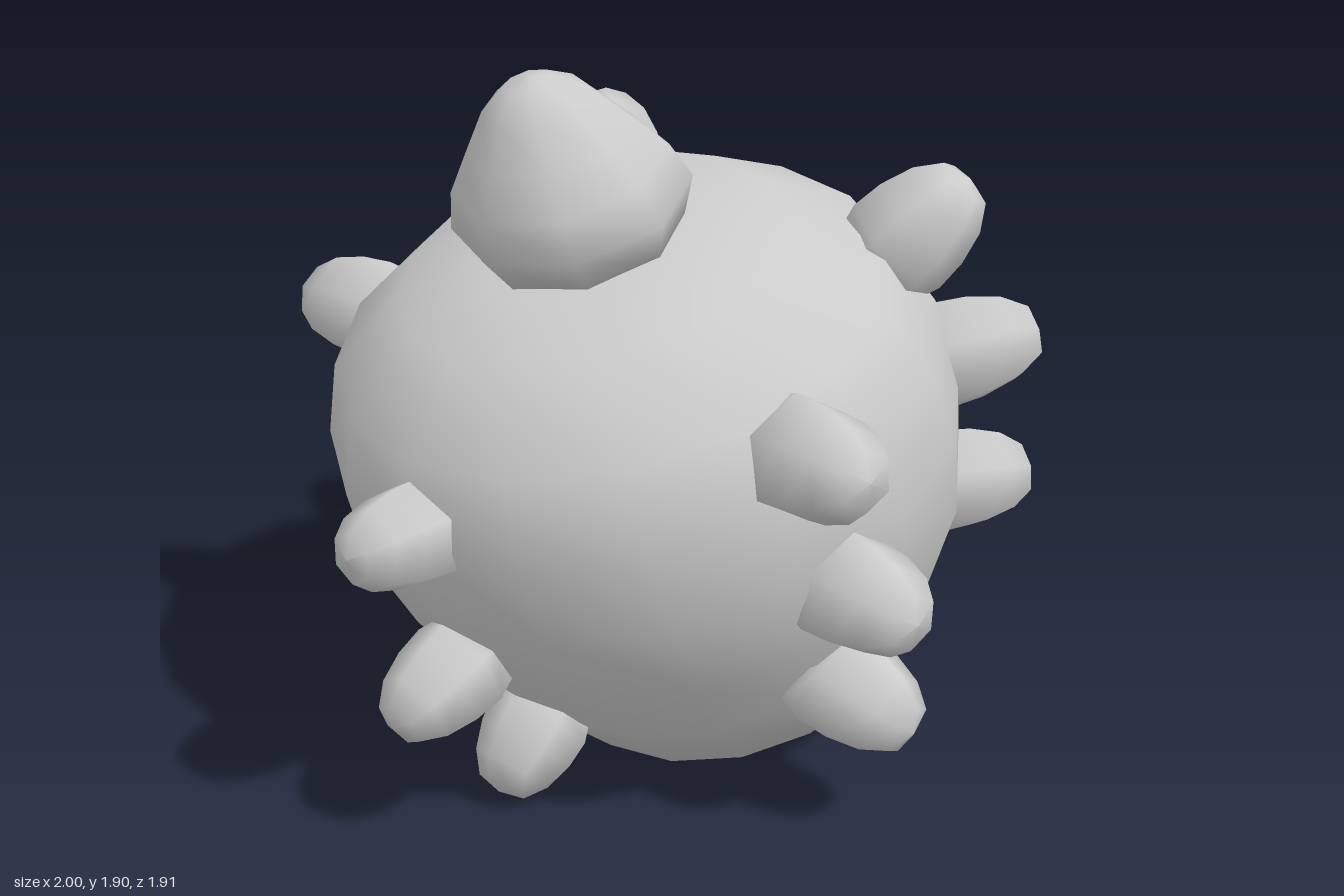
import * as THREE from 'three';

const material = new THREE.MeshStandardMaterial({ color: 0xcccccc });

// Lathe from [radius, height] pairs listed bottom to top
function lathe(profile, sides) {
  return new THREE.LatheGeometry(profile.map(([r, h]) => new THREE.Vector2(r, h)), sides);
}

export function createModel() {
  const model = new THREE.Group();
  model.name = 'spikyShell';

  const add = (geometry, name, parent = model) => {
    const mesh = new THREE.Mesh(geometry, material);
    mesh.name = name;
    parent.add(mesh);
    return mesh;
  };

  // Forward-leaning frame shared by the shell and its top knob
  const up = new THREE.Vector3(0, 0.95, 0.313);
  const front = new THREE.Vector3(0, -0.313, 0.95);
  const lean = new THREE.Matrix4()
    .makeBasis(new THREE.Vector3(1, 0, 0), up.clone().addScaledVector(front, 0.085), front)
    .setPosition(0, 0.135, -0.41);

  // Round shell with a flat, slanted underside
  add(lathe([
    [0, 0.022], [0.495, 0.022], [0.645, 0.29], [0.77, 0.56], [0.813, 0.8],
    [0.795, 1.03], [0.71, 1.23], [0.49, 1.395], [0.25, 1.45], [0, 1.463],
  ], 16).applyMatrix4(lean), 'shell');

  // Large blunt knob on top
  add(lathe([
    [0, 1.42], [0.25, 1.44], [0.3, 1.55], [0.268, 1.65], [0.205, 1.74],
    [0.13, 1.845], [0.06, 1.895], [0, 1.905],
  ], 8).applyMatrix4(lean), 'topKnob');

  // Unit spike pointing along +z, scaled by radius and length
  const spikeGeometry = lathe([
    [0, -0.15], [0.88, -0.1], [1, 0.12], [0.95, 0.42], [0.78, 0.72], [0.48, 0.94], [0, 1],
  ], 6).rotateX(Math.PI / 2);

  const addSpike = (name, base, tip, radius, parent) => {
    const from = new THREE.Vector3(...base);
    const to = new THREE.Vector3(...tip);
    const spike = add(spikeGeometry, name, parent);
    spike.position.copy(from);
    spike.lookAt(to);
    spike.scale.set(radius, radius, from.distanceTo(to));
  };

  // Row of three down the middle of the front
  const frontRow = new THREE.Group();
  frontRow.name = 'frontSpikes';
  model.add(frontRow);
  [
    [[0, 0.87, 0.69], [0, 0.87, 0.95]],
    [[0, 0.48, 0.58], [0, 0.375, 0.83]],
    [[0, 0.22, 0.32], [0, 0.045, 0.49]],
  ].forEach(([base, tip], i) => addSpike(`frontSpike${i + 1}`, base, tip, 0.137, frontRow));

  // Side and rear rows, mirrored across x
  const rows = {
    Side: [
      [[0.68, 1.1, 0.18], [0.965, 1.13, 0.25]],
      [[0.72, 0.74, 0.05], [1.0, 0.73, 0.09]],
      [[0.62, 0.42, -0.06], [0.88, 0.32, -0.09]],
    ],
    Rear: [
      [[0.47, 1.38, -0.45], [0.63, 1.59, -0.56]],
      [[0.49, 1.06, -0.62], [0.68, 1.13, -0.85]],
      [[0.46, 0.67, -0.7], [0.62, 0.69, -0.94]],
    ],
  };
  for (const [label, sx] of [['left', 1], ['right', -1]]) {
    for (const [row, spikes] of Object.entries(rows)) {
      const group = new THREE.Group();
      group.name = `${label}${row}Spikes`;
      model.add(group);
      spikes.forEach(([[bx, by, bz], [tx, ty, tz]], i) =>
        addSpike(`${label}${row}Spike${i + 1}`, [sx * bx, by, bz], [sx * tx, ty, tz], 0.152, group));
    }
  }
  return model;
}
